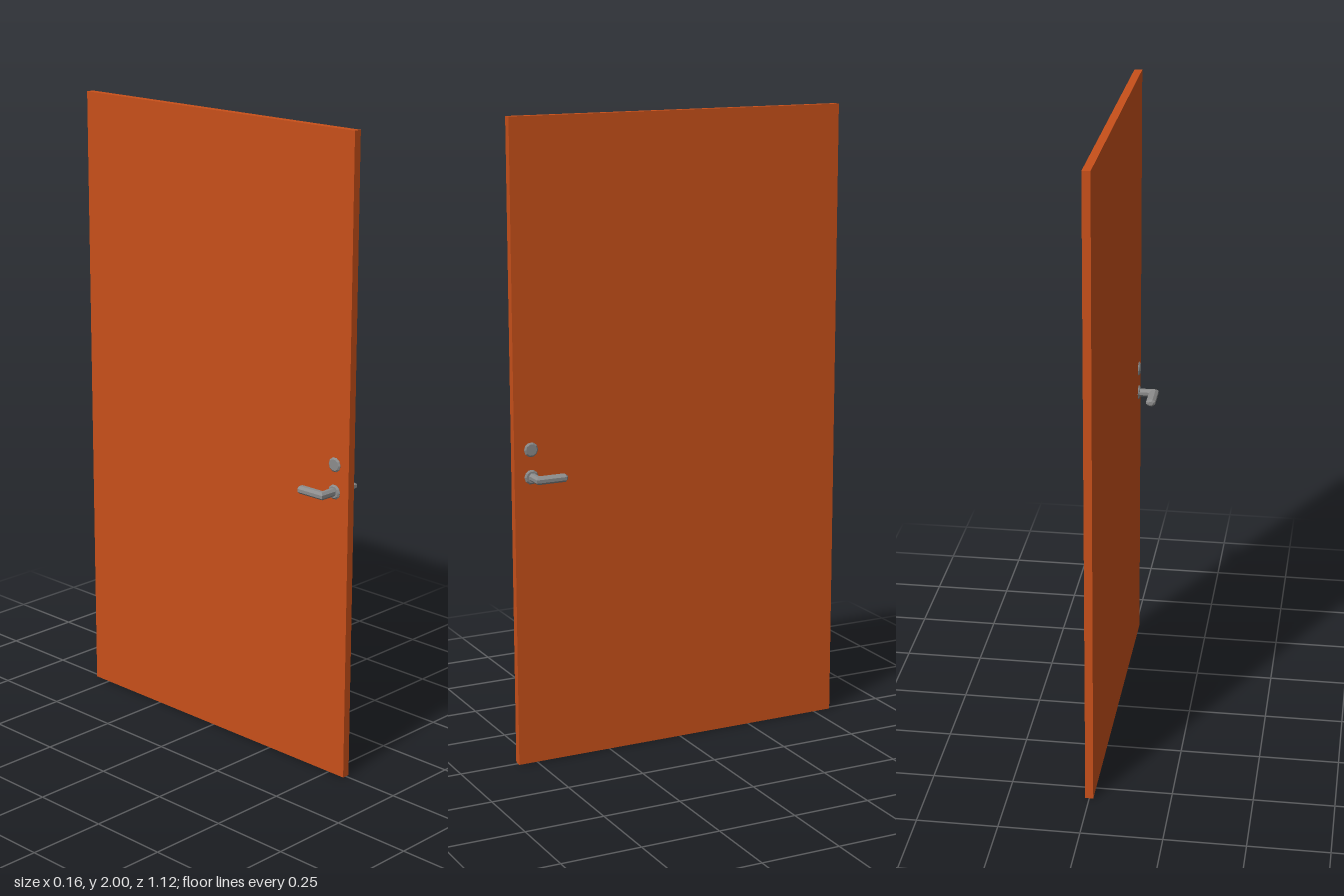
import * as THREE from 'three';

const SIDES = 8;

// Sweeps an eight-sided section along rows of [x, z, sideX, sideZ, halfHeight].
function sweep(rows) {
  const pos = [], idx = [];
  rows.forEach(([x, z, wx, wz, h], i) => {
    for (let j = 0; j < SIDES; j++) {
      const a = ((j + 0.5) / SIDES) * Math.PI * 2;
      const c = Math.cos(a) * 1.08, s = Math.sin(a) * 1.08;
      pos.push(x + wx * c, h * s, z + wz * c);
      if (i === rows.length - 1) continue;
      const k = (j + 1) % SIDES, p = i * SIDES, q = p + SIDES;
      idx.push(p + j, q + j, p + k, p + k, q + j, q + k);
    }
  });
  const geo = new THREE.BufferGeometry();
  geo.setAttribute('position', new THREE.Float32BufferAttribute(pos, 3));
  geo.setIndex(idx);
  const flat = geo.toNonIndexed();
  flat.computeVertexNormals();
  return flat;
}

// Round plate with bevelled rims, passing through the door along x.
function plate(radius, half) {
  const profile = [[0, -half], [radius * 0.78, -half], [radius, -half + 0.004],
    [radius, half - 0.004], [radius * 0.78, half], [0, half]];
  const geo = new THREE.LatheGeometry(profile.map(p => new THREE.Vector2(...p)), 10);
  return geo.rotateZ(Math.PI / 2);
}

export function createModel() {
  const door = new THREE.Group();
  door.name = 'door';
  const wood = new THREE.MeshStandardMaterial({ color: 0xc8501a });
  const metal = new THREE.MeshStandardMaterial({ color: 0xcccccc, flatShading: true });
  metal.color.set(0x8c8c8c);

  const add = (name, geo, mat, x, y, z) => {
    const mesh = new THREE.Mesh(geo, mat);
    mesh.name = name;
    mesh.position.set(x, y, z);
    door.add(mesh);
  };

  // Plain door leaf
  add('doorPanel', new THREE.BoxGeometry(0.025, 2, 1.12), wood, 0, 1, 0);

  // Lock cylinder and handle rose, showing on both faces
  add('lockCylinder', plate(0.023, 0.018), metal, 0, 1.0, 0.505);
  add('handleRose', plate(0.023, 0.018), metal, 0, 0.915, 0.505);

  // Spindle with a mitred lever at each end, mirrored across the door
  const half = [
    [0.064, 0, 0.015, 0.012, 0.012],
    [0.064, -0.086, 0.015, 0, 0.012],
    [0.064, -0.093, 0.008, 0, 0.007],
    [0.064, -0.093, 0, 0, 0],
  ];
  const mirrored = half.map(([x, z, wx, wz, h]) => [-x, z, -wx, wz, h]).reverse();
  add('leverHandles', sweep([...mirrored, ...half]), metal, 0, 0.915, 0.503);

  return door;
}
